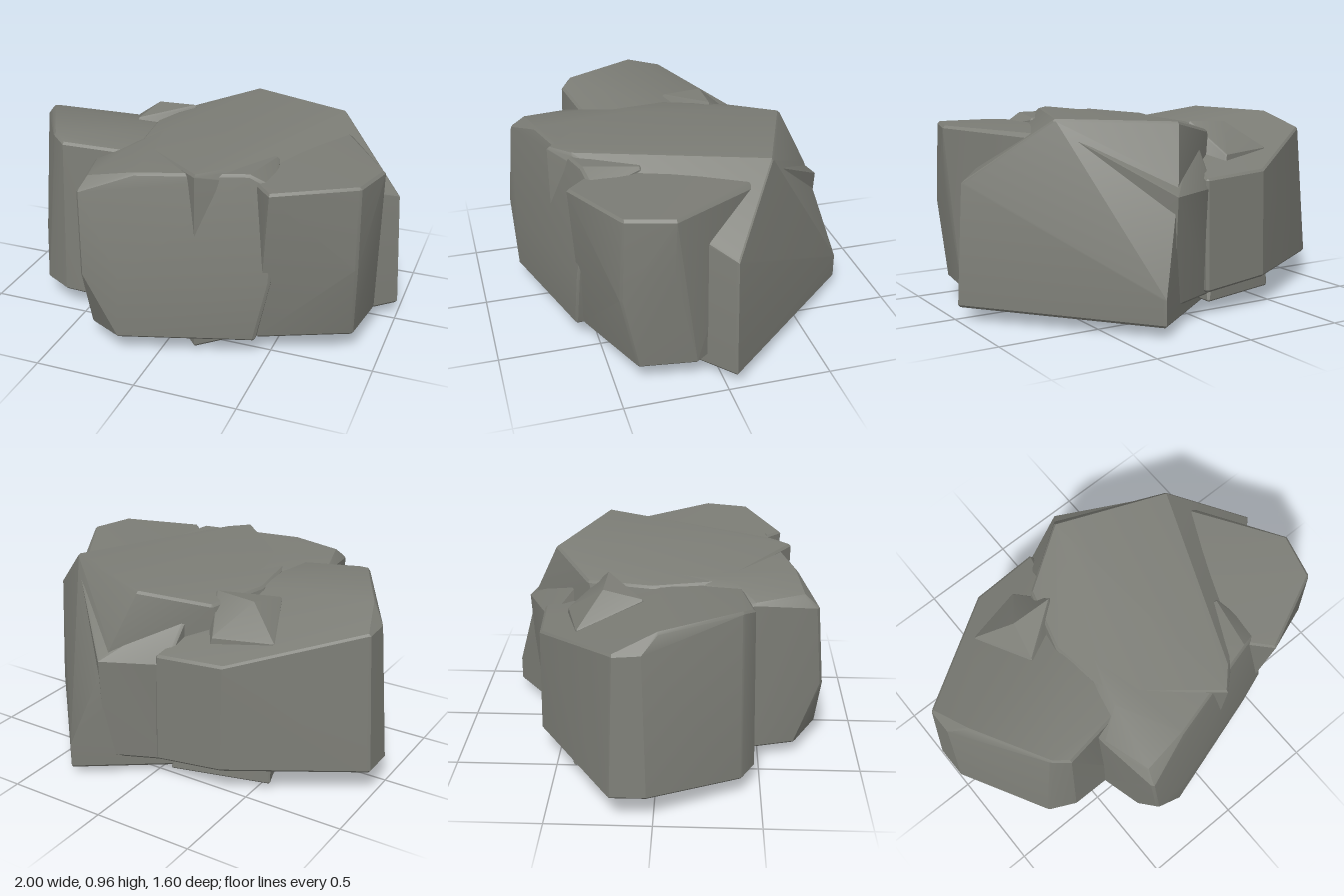
import * as THREE from 'three';
import { ConvexGeometry } from 'three/addons/geometries/ConvexGeometry.js';
import { toCreasedNormals } from 'three/addons/utils/BufferGeometryUtils.js';

const stone = new THREE.MeshStandardMaterial({ color: 0x7c7d76 });
stone.name = 'grey stone';

// Convex boulder from its corner points, with every edge chamfered by r
function boulder(name, corners, r = 0.012) {
  const pts = corners.map(c => new THREE.Vector3(...c));
  const centre = new THREE.Vector3();
  pts.forEach(p => centre.addScaledVector(p, 1 / pts.length));
  const hull = [];
  for (const p of pts) {
    const q = p.clone().addScaledVector(centre.clone().sub(p).normalize(), r * 1.3);
    for (const axis of ['x', 'y', 'z']) {
      for (const s of [-r, r]) {
        const v = q.clone();
        v[axis] += s;
        hull.push(v);
      }
    }
  }
  const mesh = new THREE.Mesh(toCreasedNormals(new ConvexGeometry(hull), 0.4), stone);
  mesh.name = name;
  return mesh;
}

export function createModel() {
  const group = new THREE.Group();
  group.name = 'rockCluster';

  // Large central block on a tilted rectangular base
  group.add(boulder('mainRock', [
    [0.32, 0.05, -0.8], [1.0, 0.07, -0.04], [0.16, 0.03, 0.65], [-0.52, 0.0, -0.1],
    [0.32, 0.17, -0.8], [0.97, 0.66, -0.04], [0.16, 0.68, -0.66],
    [-0.31, 0.88, -0.03], [-0.26, 0.89, 0.3], [0.17, 0.93, 0.66], [0.26, 0.93, 0.57],
    [0.62, 0.96, -0.31], [0.08, 0.94, -0.54], [-0.22, 0.87, -0.35],
  ]));

  // Front block with a chamfered left corner
  group.add(boulder('frontRock', [
    [-0.42, 0.85, 0.46], [-0.42, 0.8, 0.24], [-0.37, 0.82, 0.76], [-0.35, 0.87, 0.7],
    [-0.28, 0.9, 0.36], [-0.2, 0.9, 0.1], [-0.12, 0.91, 0.67], [0.4, 0.92, 0.53],
    [0.51, 0.86, 0.5], [0.45, 0.91, 0.27],
    [-0.35, 0.4, 0.8], [-0.17, 0.4, 0.79], [0.52, 0.42, 0.59],
    [-0.42, 0.07, 0.46], [-0.36, 0.07, 0.68], [-0.18, 0.09, 0.79], [0.45, 0.1, 0.6],
    [0.4, 0.1, 0], [-0.35, 0.07, 0.05],
  ]));

  // Wide block on the left
  group.add(boulder('sideRock', [
    [-1.0, 0.14, -0.2], [-1.0, 0.14, -0.03], [-0.75, 0.1, 0.41], [-0.62, 0.09, 0.47],
    [-0.3, 0.08, 0.47], [-0.4, 0.15, -0.58], [-0.05, 0.12, -0.6], [0, 0.1, 0.3],
    [-0.95, 0.83, -0.18], [-0.95, 0.84, -0.05], [-0.88, 0.91, 0.02], [-0.67, 0.92, 0.4],
    [-0.6, 0.9, 0.45], [-0.3, 0.88, 0.4], [-0.2, 0.87, 0.0],
    [-0.4, 0.68, -0.57], [-0.05, 0.66, -0.59],
  ]));

  // Long block running through the cluster from front right to back
  group.add(boulder('crossRock', [
    [0.51, 0.88, 0.63], [0.88, 0.9, 0.46], [0.94, 0.9, 0.24], [0.69, 0.88, -0.19],
    [0.55, 0.88, -0.38], [0.34, 0.88, 0.45], [-0.12, 0.87, -0.38],
    [0.19, 0.62, -0.71], [-0.1, 0.62, -0.57],
    [0.89, 0.5, 0.48], [0.94, 0.65, 0.25],
    [0.45, 0.1, 0.57], [0.87, 0.11, 0.4], [0.91, 0.11, 0.13], [0.6, 0.1, -0.3],
    [0.19, 0.1, -0.68], [-0.1, 0.1, -0.55],
  ]));

  // Small wedge breaking through the top and underside of the left block
  group.add(boulder('wedgeRock', [
    [-0.57, 0.04, -0.4], [-0.1, 0.05, -0.54], [-0.4, 0.03, 0.1], [-0.1, 0.05, 0.1],
    [-0.56, 0.77, -0.37], [-0.27, 0.76, -0.44], [-0.43, 0.87, -0.07],
    [-0.39, 0.9, -0.26], [-0.18, 0.91, -0.25],
  ], 0.008));

  return group;
}
